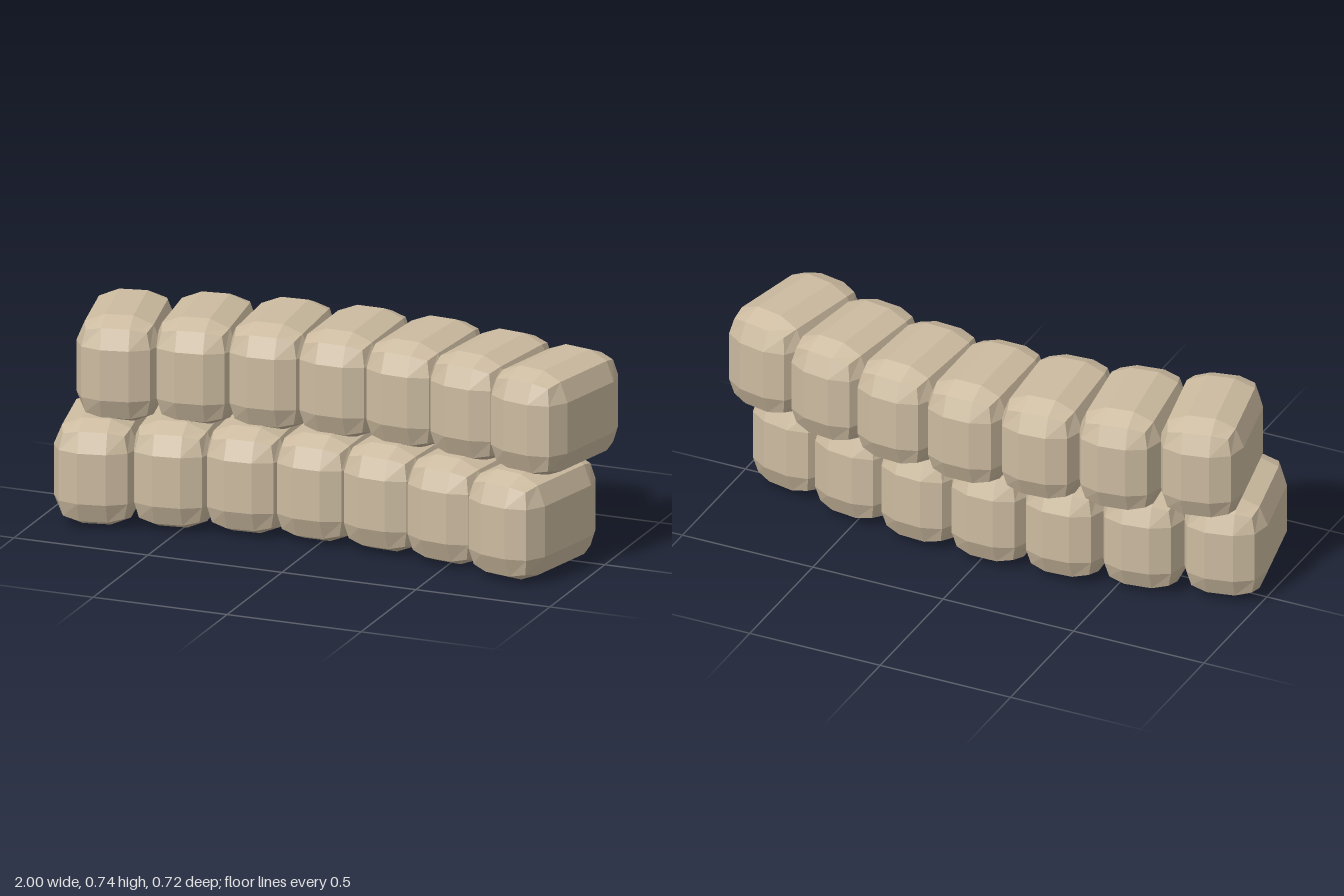
import * as THREE from 'three';
import { RoundedBoxGeometry } from 'three/addons/geometries/RoundedBoxGeometry.js';

export function createModel() {
  const model = new THREE.Group();
  model.name = 'sandbagWall';
  const burlap = new THREE.MeshStandardMaterial({ color: 0xccbba0 });
  burlap.name = 'burlap';

  // One stuffed bag: a box with two-step chamfers, flat shaded
  const bag = new RoundedBoxGeometry(0.3, 0.384, 0.482, 1, 0.1);
  bag.computeVertexNormals();

  // Curved row of seven bags, the ends bending towards the front
  function addRow(name, x, y, z) {
    const row = new THREE.Group();
    row.name = name;
    row.position.set(x, y, z);
    for (let i = -3; i <= 3; i++) {
      const mesh = new THREE.Mesh(bag, burlap);
      mesh.name = 'sandbag' + (i + 4);
      mesh.position.set(i * 0.2665, 0, 0.0148 * i * i);
      mesh.rotation.y = -i * 0.071;
      row.add(mesh);
    }
    model.add(row);
  }

  addRow('lowerRow', -0.025, 0.192, -0.022);
  addRow('upperRow', 0.02, 0.545, -0.118);
  return model;
}
